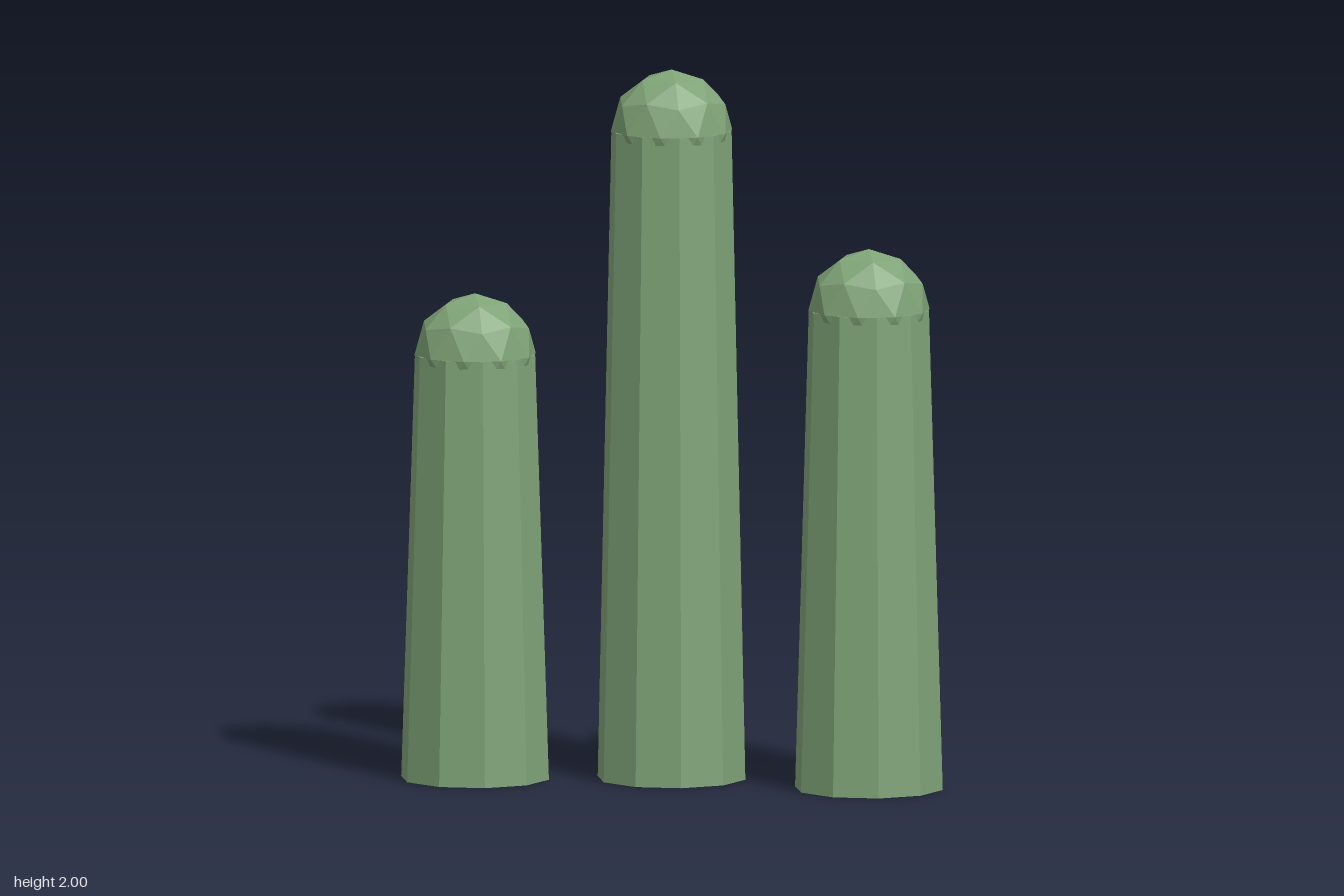
import * as THREE from 'three';

const TOP_RADIUS = 0.171;
const BASE_RADIUS = 0.21;
const GOLDEN = (1 + Math.sqrt(5)) / 2;

// One tapered ten-sided column with a faceted ball set into its top
function makeColumn(name, x, z, height, material) {
  const column = new THREE.Group();
  column.name = name;
  column.position.set(x, 0, z);

  // Shaft, with corners pointing along x
  const shaft = new THREE.Mesh(
    new THREE.CylinderGeometry(TOP_RADIUS, BASE_RADIUS, height, 10, 1, false, Math.PI / 2),
    material
  );
  shaft.name = 'shaft';
  shaft.position.y = height / 2;

  // Rounded cap, turned so a five-sided corner is the apex
  const ball = new THREE.IcosahedronGeometry(TOP_RADIUS, 1);
  ball.rotateZ(-Math.atan(1 / GOLDEN));
  const cap = new THREE.Mesh(ball, material);
  cap.name = 'roundedCap';
  cap.position.y = height;

  column.add(shaft, cap);
  return column;
}

export function createModel() {
  const model = new THREE.Group();
  model.name = 'columnCluster';

  const green = new THREE.MeshStandardMaterial({ color: 0x7fa377 });
  green.name = 'cactusGreen';
  green.flatShading = true;

  model.add(
    makeColumn('rightColumn', -0.56, 0.05, 1.197, green),
    makeColumn('middleColumn', -0.02, -0.05, 1.829, green),
    makeColumn('leftColumn', 0.56, 0.05, 1.351, green)
  );
  return model;
}
